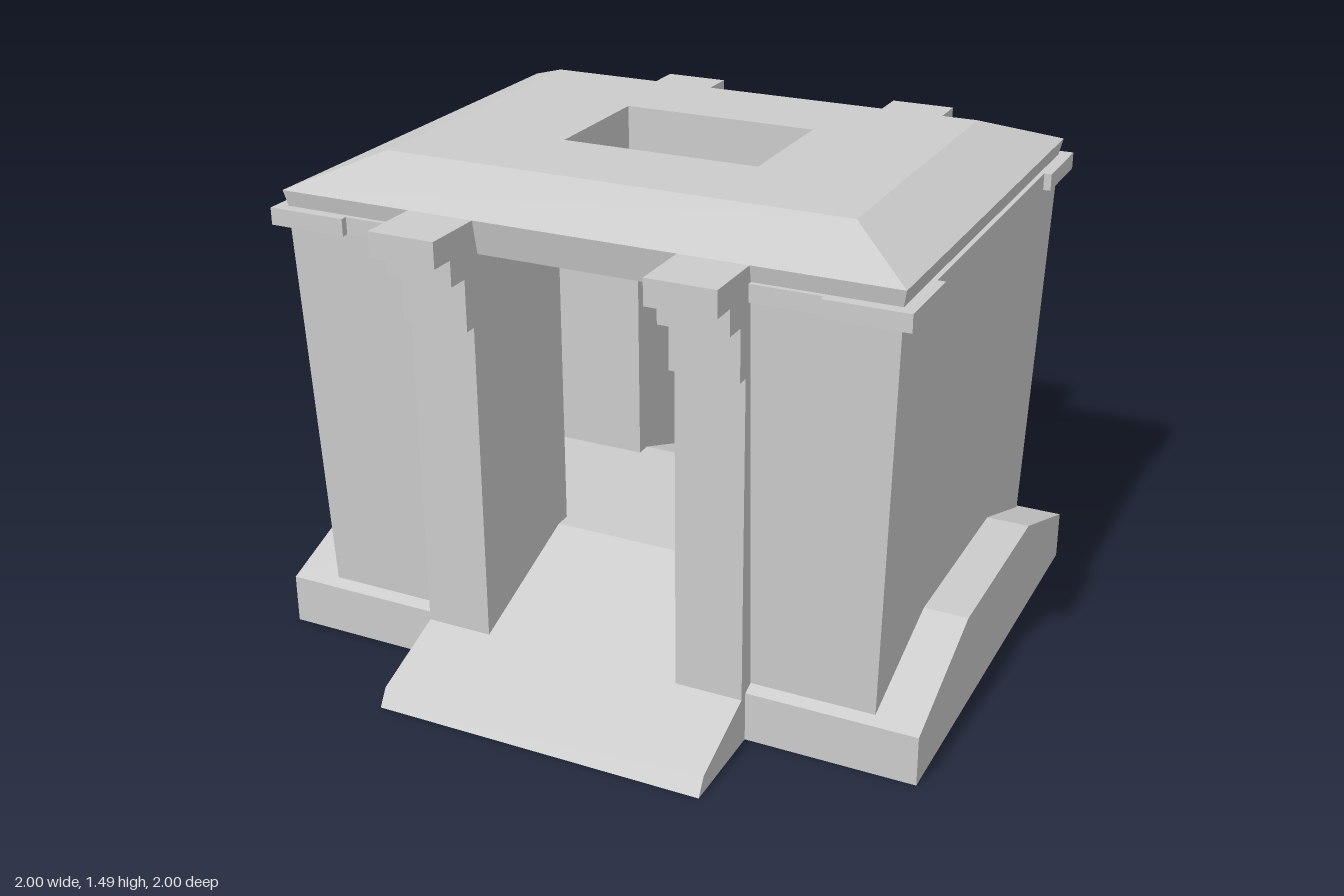
import * as THREE from 'three';

const material = new THREE.MeshStandardMaterial({ color: 0xcccccc, flatShading: true });

function add(parent, name, geometry) {
  const mesh = new THREE.Mesh(geometry, material);
  mesh.name = name;
  parent.add(mesh);
  return mesh;
}

// Box given by its lower and upper bounds on each axis
function boundsBox(x0, x1, y0, y1, z0, z1) {
  const g = new THREE.BoxGeometry(x1 - x0, y1 - y0, z1 - z0);
  return g.translate((x0 + x1) / 2, (y0 + y1) / 2, (z0 + z1) / 2);
}

const shapeOf = (points) => new THREE.Shape(points.map(([x, y]) => new THREE.Vector2(x, y)));

// Half profile (z, y) mirrored about z = 0 and extruded along x
function ramp(half, width, centerX) {
  const mirrored = half.map(([z, y]) => [-z, y]).reverse();
  const g = new THREE.ExtrudeGeometry(shapeOf([...half, ...mirrored]), { depth: width, bevelEnabled: false });
  return g.translate(0, 0, -width / 2).rotateY(-Math.PI / 2).translate(centerX, 0, 0);
}

// Closed loop of rectangular rings [halfX, y, halfZ], leaving a hole through the middle
function rectangularRing(rings) {
  const positions = [];
  const signs = [[1, 1], [1, -1], [-1, -1], [-1, 1]];
  const corner = ([hx, y, hz], i) => [signs[i % 4][0] * hx, y, signs[i % 4][1] * hz];
  rings.forEach((lower, r) => {
    const upper = rings[(r + 1) % rings.length];
    for (let i = 0; i < 4; i++) {
      const a = corner(lower, i), b = corner(lower, i + 1);
      const c = corner(upper, i + 1), d = corner(upper, i);
      positions.push(...a, ...b, ...c, ...a, ...c, ...d);
    }
  });
  const g = new THREE.BufferGeometry();
  g.setAttribute('position', new THREE.Float32BufferAttribute(positions, 3));
  g.computeVertexNormals();
  return g;
}

// C-shaped wall around half of the inner chamber, its outer faces leaning outward
function wallGeometry() {
  const plan = [
    [0.3, -0.7], [0.9, -0.7], [0.9, 0.7], [0.3, 0.7],
    [0.3, 0.25], [0.7, 0.25], [0.7, -0.25], [0.3, -0.25],
  ];
  const bottom = 0.1, top = 1.3;
  const g = new THREE.ExtrudeGeometry(shapeOf(plan), { depth: top - bottom, bevelEnabled: false });
  g.rotateX(-Math.PI / 2).translate(0, bottom, 0);
  const p = g.attributes.position;
  for (let i = 0; i < p.count; i++) {
    const inset = 0.037 * (top - p.getY(i)) / (top - bottom);
    if (p.getX(i) > 0.85) p.setX(i, p.getX(i) - inset);
    if (Math.abs(p.getZ(i)) > 0.65) p.setZ(i, p.getZ(i) - Math.sign(p.getZ(i)) * inset);
  }
  g.computeVertexNormals();
  return g;
}

export function createModel() {
  const model = new THREE.Group();
  model.name = 'gatehouse';

  // Sloped base: long central ramp and two shorter side plinths
  const base = new THREE.Group();
  base.name = 'base';
  model.add(base);
  add(base, 'centralRamp', ramp([[1, 0], [0.97, 0.05], [0.3, 0.3]], 1, 0));
  for (const s of [1, -1]) {
    add(base, 'sidePlinth', ramp([[0.7, 0], [0.7, 0.15], [0.3, 0.3]], 0.5, 0.75 * s));
  }

  // Walls on both sides of the passage
  const wall = wallGeometry();
  add(model, 'leftWall', wall);
  add(model, 'rightWall', wall).rotation.y = Math.PI;

  // Hipped roof with a rectangular skylight
  add(model, 'roof', rectangularRing([
    [0.89, 1.3, 0.69], [0.91, 1.4, 0.71], [0.7, 1.485, 0.5], [0.3, 1.485, 0.2], [0.3, 1.3, 0.2],
  ]));

  // Pillar steps: bottom, top, front face
  const steps = [[0.1, 1.1, 0.725], [1.1, 1.25, 0.76], [1.25, 1.325, 0.825], [1.325, 1.4, 0.9]];
  for (const sx of [1, -1]) {
    for (const sz of [1, -1]) {
      // Mirrored box for this corner
      const cornerBox = (x0, x1, y0, y1, z0, z1) => boundsBox(
        Math.min(sx * x0, sx * x1), Math.max(sx * x0, sx * x1), y0, y1,
        Math.min(sz * z0, sz * z1), Math.max(sz * z0, sz * z1));

      const pillar = new THREE.Group();
      pillar.name = 'pillar';
      model.add(pillar);
      steps.forEach(([y0, y1, z], i) => add(pillar, i ? 'bracketStep' : 'pillarShaft',
        cornerBox(0.3, 0.5, y0, y1, 0.65, z)));

      // Eave trim: thick corner block and thin front strip
      add(model, 'eaveCorner', cornerBox(0.7, 0.937, 1.303, 1.353, 0.49, 0.735));
      add(model, 'eaveStrip', cornerBox(0.5, 0.7, 1.303, 1.353, 0.6, 0.715));
    }
    // Thin strip along the side eave
    add(model, 'sideEaveStrip', boundsBox(sx * 0.865 - 0.05, sx * 0.865 + 0.05, 1.303, 1.353, -0.49, 0.49));
  }

  return model;
}
